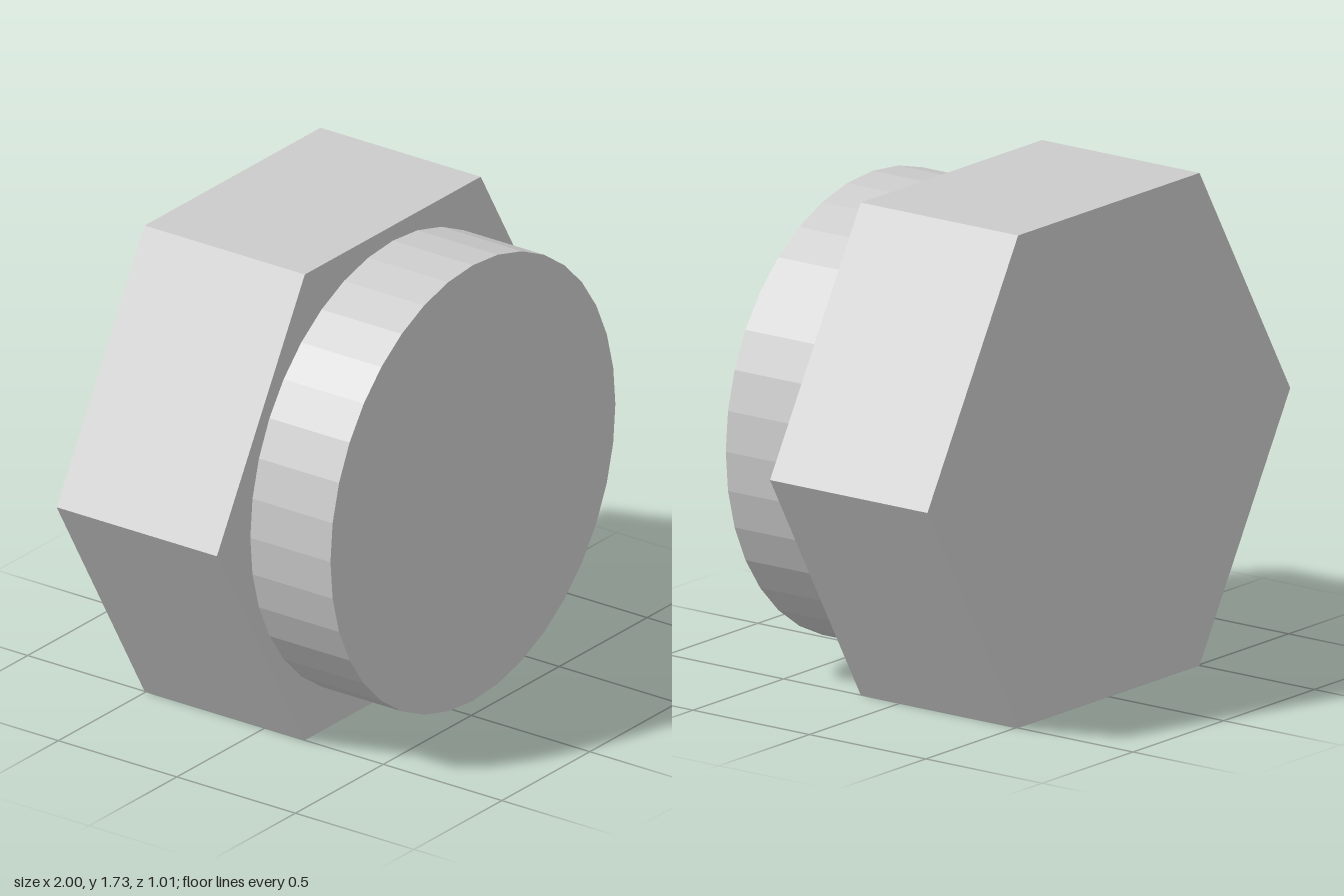
import * as THREE from 'three';

// Flat-shaded prism lying along z, with a corner on the x axis
function prism(name, radius, sides, zBack, zFront) {
  const geometry = new THREE.CylinderGeometry(radius, radius, zFront - zBack, sides, 1, false, Math.PI / 2);
  geometry.rotateX(Math.PI / 2);
  const material = new THREE.MeshStandardMaterial({ color: 0xcccccc, flatShading: true });
  const mesh = new THREE.Mesh(geometry, material);
  mesh.name = name;
  mesh.position.set(0, Math.sqrt(3) / 2, (zBack + zFront) / 2);
  return mesh;
}

export function createModel() {
  const group = new THREE.Group();
  group.name = 'hexBolt';
  // Hexagonal head at the back, standing on one flat
  group.add(prism('hexHead', 1, 6, -0.507, 0.169));
  // Round shank stub at the front
  group.add(prism('roundShank', 0.81, 36, 0.169, 0.507));
  return group;
}
